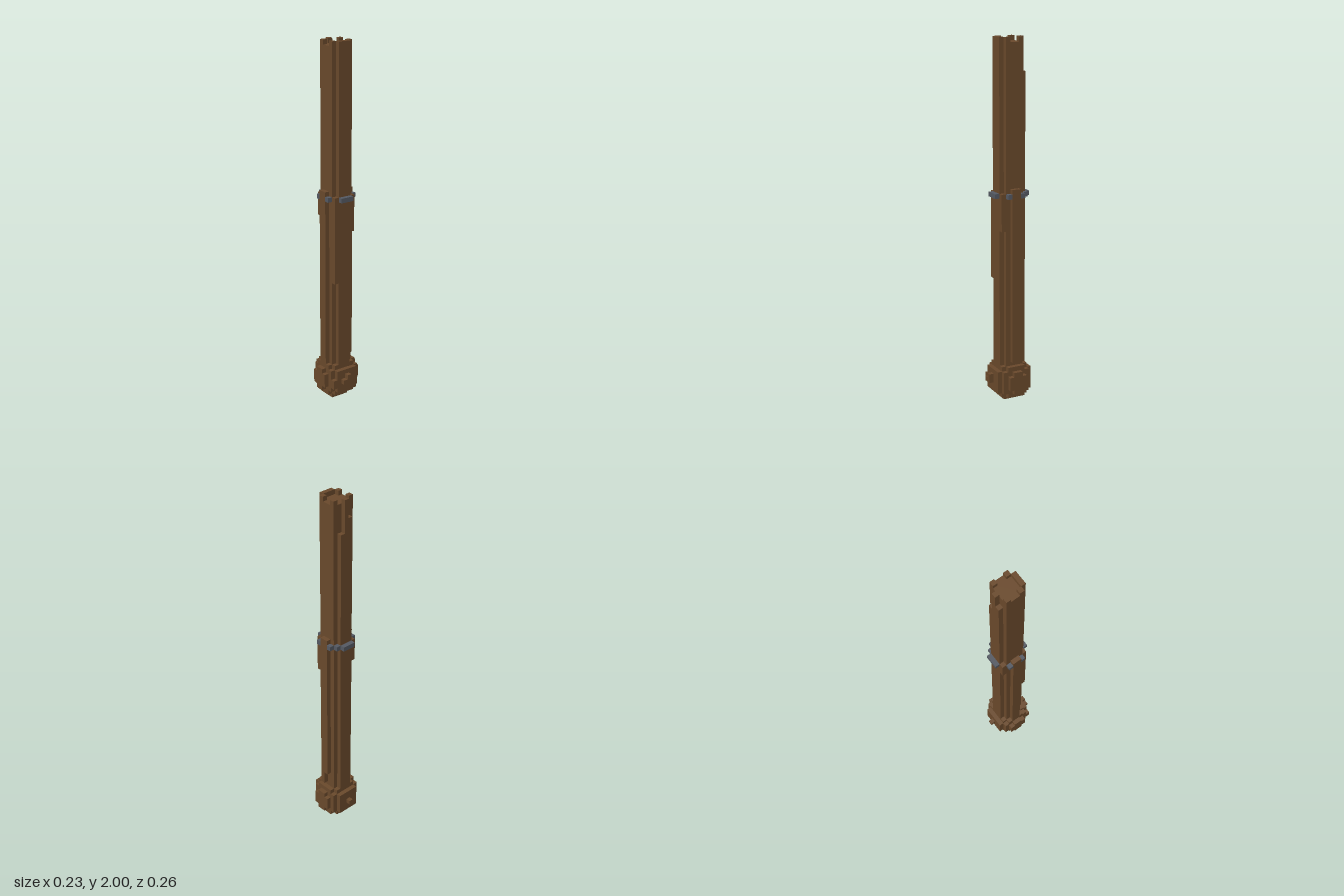
import * as THREE from 'three';

const U = 2 / 78; // size of one block

export function createModel() {
  const model = new THREE.Group();
  const wood = new THREE.MeshStandardMaterial({ color: 0x6b4a2c });
  wood.name = 'brown wood';
  const metal = new THREE.MeshStandardMaterial({ color: 0x555a63 });
  metal.name = 'grey metal';

  // Adds one group of boxes; each box is [columns, layers, rows] as from/to block edges
  function part(name, material, boxes) {
    const group = new THREE.Group();
    group.name = name;
    for (const [x0, x1, y0, y1, z0, z1] of boxes) {
      const geo = new THREE.BoxGeometry((x1 - x0) * U, (y1 - y0) * U, (z1 - z0) * U);
      geo.translate(((x0 + x1) / 2 - 4.5) * U, ((y0 + y1) / 2) * U, ((z0 + z1) / 2 - 5) * U);
      const mesh = new THREE.Mesh(geo, material);
      mesh.name = name;
      group.add(mesh);
    }
    model.add(group);
  }

  // Cross-shaped shaft, running the whole length, chipped at the back near the top
  part('shaft', wood, [
    [2, 7, 7, 77, 3, 7],
    [3, 6, 7, 77, 7, 8],
    [3, 4, 7, 74, 2, 3],
    [4, 5, 7, 77, 2, 3],
    [5, 6, 7, 71, 2, 3],
  ]);

  // Broken rim at the top, open through the middle
  part('rim', wood, [
    [2, 3, 77, 78, 3, 4], [6, 7, 77, 78, 3, 4],
    [2, 3, 77, 78, 6, 7], [6, 7, 77, 78, 6, 7],
    [4, 5, 77, 78, 2, 3],
    [3, 6, 77, 78, 7, 8],
  ]);

  // Raised ribs on both sides of the lower shaft
  part('sideRib', wood, [
    [1, 2, 7, 47, 4, 6],
    [7, 8, 12, 47, 4, 5],
    [7, 8, 9, 47, 5, 6],
  ]);

  // Strips filling the shaft corners below the band
  part('cornerStrip', wood, [
    [2, 3, 27, 46, 7, 8],
    [6, 7, 38, 46, 7, 8],
    [2, 3, 41, 46, 2, 3],
  ]);

  // Metal band
  part('band', metal, [
    [3, 6, 45, 46, 1, 2],
    [3, 6, 45, 46, 8, 9],
    [6, 7, 45, 46, 2, 3],
    [1, 2, 45, 46, 3, 4], [7, 8, 45, 46, 3, 4],
    [1, 2, 45, 46, 6, 7], [7, 8, 45, 46, 6, 7],
  ]);

  // Rounded pommel, stepped in at the bottom and top
  part('pommel', wood, [
    [2, 6, 0, 1, 3, 7],
    [2, 7, 1, 2, 2, 8], [1, 8, 1, 2, 3, 7],
    [1, 8, 2, 7, 2, 8],
    [2, 7, 2, 7, 1, 9], [1, 2, 3, 5, 8, 9],
    [2, 7, 7, 8, 2, 8], [1, 8, 7, 8, 3, 7],
  ]);

  // Cross-shaped bosses on both sides of the pommel
  for (const x of [0, 8]) {
    part('sideBoss', wood, [
      [x, x + 1, 3, 6, 3, 7],
      [x, x + 1, 2, 7, 4, 6],
    ]);
  }

  // Small knobs at the front and back
  part('knob', wood, [
    [3, 5, 4, 5, 9, 10],
    [4, 5, 5, 6, 9, 10],
    [4, 5, 4, 5, 0, 1],
  ]);

  return model;
}
